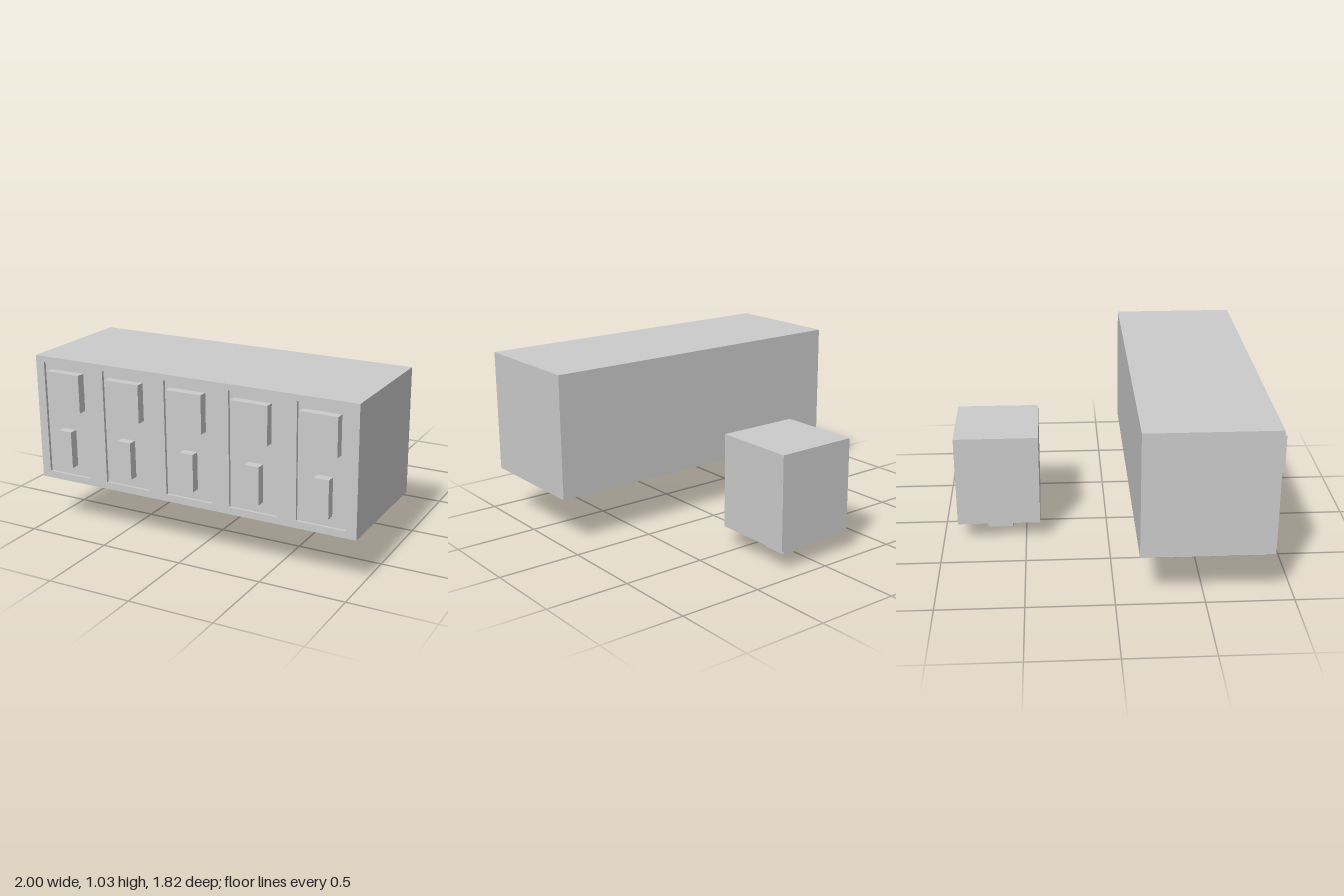
import * as THREE from 'three';

const material = new THREE.MeshStandardMaterial({ color: 0xcccccc, flatShading: true });

// Box given by its lower and upper limits on each axis
function box(name, [x0, x1], [y0, y1], [z0, z1]) {
  const mesh = new THREE.Mesh(new THREE.BoxGeometry(x1 - x0, y1 - y0, z1 - z0), material);
  mesh.position.set((x0 + x1) / 2, (y0 + y1) / 2, (z0 + z1) / 2);
  mesh.name = name;
  return mesh;
}

// Traces a rectangle onto a Shape or Path
function rect(path, x0, x1, y0, y1) {
  path.moveTo(x0, y0);
  path.lineTo(x1, y0);
  path.lineTo(x1, y1);
  path.lineTo(x0, y1);
  path.closePath();
  return path;
}

export function createModel() {
  const model = new THREE.Group();
  model.name = 'counterAndStool';

  const bottom = 0.295, top = 1.035, front = 0.876, recess = 0.016;
  const floor = front - recess;

  // Long cabinet body
  const cabinet = new THREE.Group();
  cabinet.name = 'cabinet';
  cabinet.add(box('cabinetBody', [-1, 1], [bottom, top], [0.132, floor]));

  // Front face with five shallow recessed panels
  const face = rect(new THREE.Shape(), -1, 1, bottom, top);
  for (let i = -2; i <= 2; i++) {
    const panelX = i * 0.4 - 0.002;
    face.holes.push(rect(new THREE.Path(), panelX - 0.144, panelX + 0.144, 0.336, 1.0));

    // Square screen and narrow handle standing out of each panel
    const screenX = i * 0.396 - 0.003;
    const handleX = i * 0.403 + 0.006;
    cabinet.add(
      box('screen', [screenX - 0.109, screenX + 0.109], [0.741, 0.961], [floor, 0.911]),
      box('handle', [handleX - 0.043, handleX + 0.043], [0.398, 0.615], [floor, 0.911])
    );
  }
  const faceGeometry = new THREE.ExtrudeGeometry(face, { depth: recess, bevelEnabled: false });
  const faceFrame = new THREE.Mesh(faceGeometry, material);
  faceFrame.position.z = floor;
  faceFrame.name = 'panelFrame';
  cabinet.add(faceFrame);
  model.add(cabinet);

  // Separate block on a short foot behind the cabinet
  const stool = new THREE.Group();
  stool.name = 'stool';
  stool.add(
    box('stoolBlock', [-0.25, 0.248], [0.117, 0.68], [-0.911, -0.413]),
    box('stoolFoot', [-0.079, 0.076], [0, 0.117], [-0.739, -0.585])
  );
  model.add(stool);

  return model;
}
